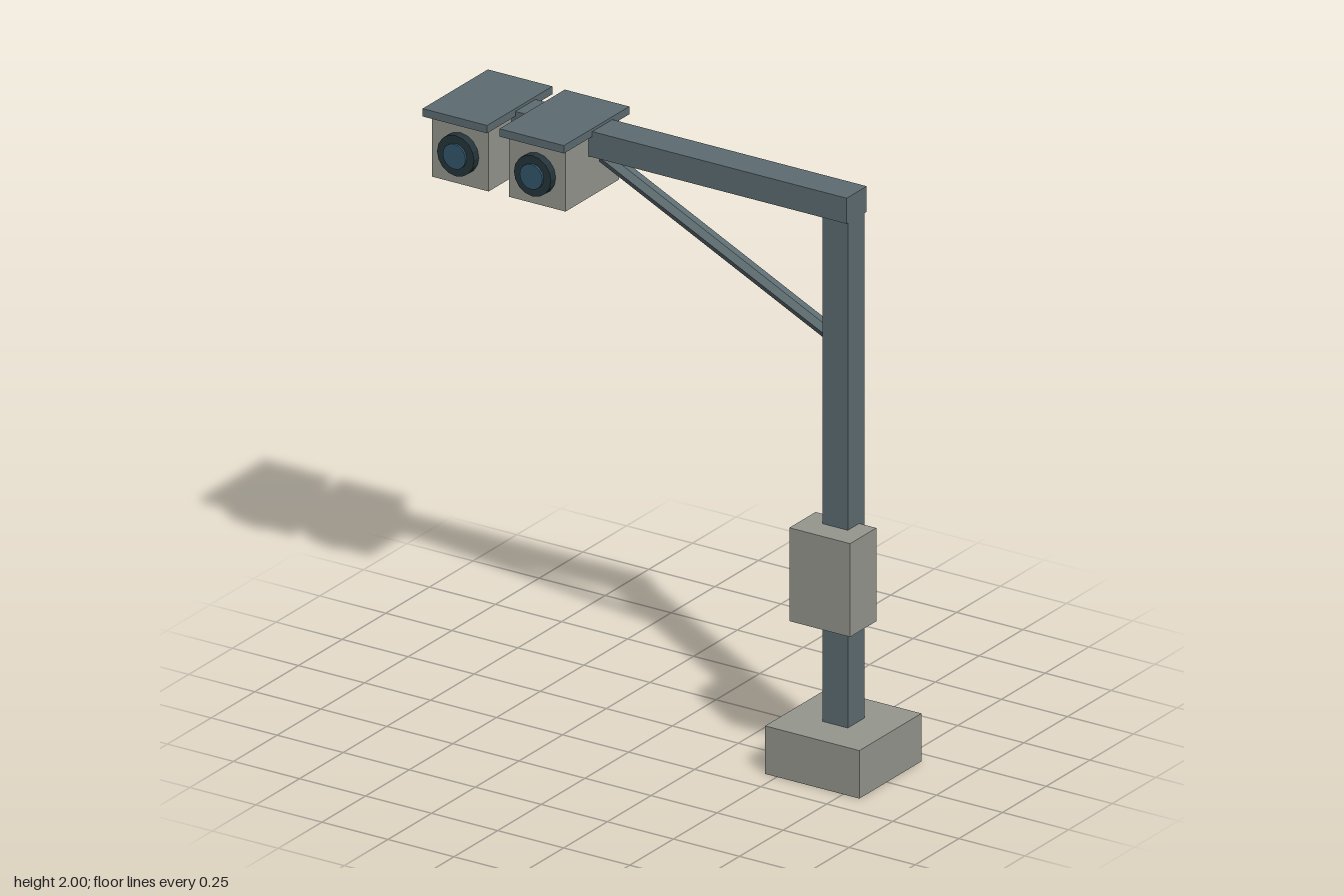
import * as THREE from 'three';

export function createModel() {
  const model = new THREE.Group();
  model.name = 'cameraGantry';
  const material = (name, color, flatShading = false) => {
    const m = new THREE.MeshStandardMaterial({ color });
    m.name = name;
    m.flatShading = flatShading;
    return m;
  };
  const steel = material('blueGreySteel', 0x5d6c71, true);
  const grey = material('warmGrey', 0x95968e, true);
  const rubber = material('darkRim', 0x24343a, true);
  const glass = material('blueGlass', 0x31566a, true);

  const add = (name, geometry, mat, parent = model) => {
    const mesh = new THREE.Mesh(geometry, mat);
    mesh.name = name;
    parent.add(mesh);
    return mesh;
  };
  // Box given by its limits on each axis
  const box = (name, mat, [x0, x1], [y0, y1], [z0, z1], parent) => {
    const mesh = add(name, new THREE.BoxGeometry(x1 - x0, y1 - y0, z1 - z0), mat, parent);
    mesh.position.set((x0 + x1) / 2, (y0 + y1) / 2, (z0 + z1) / 2);
    return mesh;
  };

  // Footing, post, arm and control cabinet
  box('footing', grey, [0.455, 0.812], [0, 0.165], [-0.198, 0.157]);
  box('post', steel, [0.587, 0.682], [0.165, 1.95], [-0.068, 0.027]);
  box('arm', steel, [-0.78, 0.683], [1.902, 1.99], [-0.08, 0.035]);
  box('cabinet', grey, [0.517, 0.747], [0.524, 0.845], [-0.038, 0.112]);

  // Six-sided diagonal brace between post and arm
  const from = new THREE.Vector3(-0.272, 1.892, -0.02);
  const to = new THREE.Vector3(0.62, 1.468, -0.02);
  const along = to.clone().sub(from);
  const brace = add('brace', new THREE.CylinderGeometry(0.026, 0.026, along.length(), 6), steel);
  brace.position.copy(from).add(to).multiplyScalar(0.5);
  brace.rotation.z = Math.atan2(-along.x, along.y);

  // Two camera units: housing, sunshade, lens rim and glass
  for (const [name, x] of [['outerCamera', -0.693], ['innerCamera', -0.402]]) {
    const unit = new THREE.Group();
    unit.name = name;
    unit.position.x = x;
    model.add(unit);
    box('housing', grey, [-0.107, 0.107], [1.758, 1.975], [-0.14, 0.165], unit);
    box('sunshade', steel, [-0.122, 0.122], [1.973, 2], [-0.177, 0.197], unit);
    const rim = add('lensRim', new THREE.CylinderGeometry(0.07, 0.07, 0.04, 16), rubber, unit);
    rim.rotation.x = Math.PI / 2;
    rim.position.set(0, 1.865, 0.173);
    const lens = add('lensGlass', new THREE.CylinderGeometry(0.043, 0.043, 0.009, 16), glass, unit);
    lens.rotation.x = Math.PI / 2;
    lens.position.set(0, 1.865, 0.1965);
  }
  return model;
}
